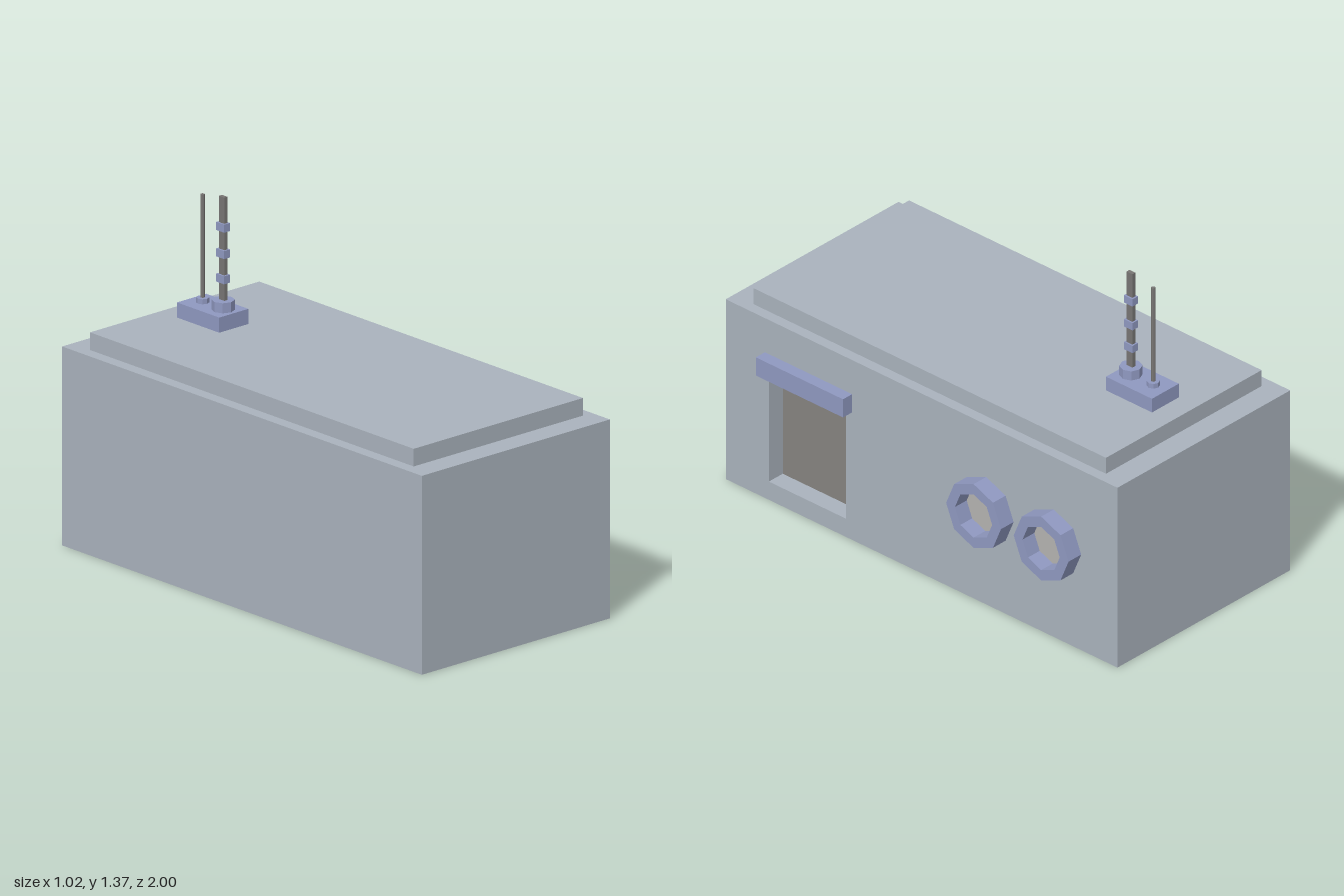
import * as THREE from 'three';

const material = (color) => new THREE.MeshStandardMaterial({ color, flatShading: true });

export function createModel() {
  const model = new THREE.Group();
  const wallMat = material(0xa9b2bc);
  const trimMat = material(0x8f98c0);
  const doorMat = material(0x858380);
  const glassMat = material(0xb4b2b0);
  const mastMat = material(0x777573);

  const add = (name, geometry, mat, parent = model) => {
    const mesh = new THREE.Mesh(geometry, mat);
    mesh.name = name;
    parent.add(mesh);
    return mesh;
  };

  // Box given by its minimum and maximum corners
  const box = (name, mat, [x0, y0, z0], [x1, y1, z1], parent) => {
    const mesh = add(name, new THREE.BoxGeometry(x1 - x0, y1 - y0, z1 - z0), mat, parent);
    mesh.position.set((x0 + x1) / 2, (y0 + y1) / 2, (z0 + z1) / 2);
    return mesh;
  };

  // Upright cylinder standing on y0
  const post = (name, mat, radius, sides, x, y0, y1, z, parent) => {
    const mesh = add(name, new THREE.CylinderGeometry(radius, radius, y1 - y0, sides), mat, parent);
    mesh.position.set(x, (y0 + y1) / 2, z);
    return mesh;
  };

  // Rectangle and octagon outlines in the side plane (u = -z, v = y)
  const rectangle = (u0, v0, u1, v1) =>
    [[u0, v0], [u1, v0], [u1, v1], [u0, v1]].map(([u, v]) => new THREE.Vector2(u, v));
  const octagon = (r) => Array.from({ length: 8 }, (_, i) =>
    new THREE.Vector2(r * Math.cos(i * Math.PI / 4), r * Math.sin(i * Math.PI / 4)));

  // Outline with a hole, extruded towards +x
  const sidePlate = (outer, inner, depth) => {
    const shape = new THREE.Shape(outer);
    shape.holes.push(new THREE.Path(inner));
    return new THREE.ExtrudeGeometry(shape, { depth, bevelEnabled: false }).rotateY(Math.PI / 2);
  };

  // Building body, with a doorway cut into the side wall
  const wallX = 0.44, doorX = 0.36;
  box('body', wallMat, [-0.515, 0, -1], [doorX, 0.79, 1]);
  add('doorWall', sidePlate(rectangle(-1, 0, 1, 0.79), rectangle(-0.78, 0.08, -0.385, 0.56), wallX - doorX), wallMat)
    .position.x = doorX;
  box('roof', wallMat, [-0.465, 0.79, -0.9], [0.395, 0.86, 0.9]);

  // Recessed door and the canopy above it
  box('door', doorMat, [doorX - 0.01, 0.08, 0.385], [doorX + 0.003, 0.56, 0.78]);
  box('doorCanopy', trimMat, [wallX, 0.56, 0.355], [0.49, 0.64, 0.8]);

  // Octagonal portholes
  for (const z of [-0.33, -0.675]) {
    const porthole = new THREE.Group();
    porthole.name = 'porthole';
    porthole.position.set(wallX, 0.42, z);
    add('portholeFrame', sidePlate(octagon(0.14), octagon(0.095), 0.07), trimMat, porthole);
    const pane = add('portholePane', new THREE.CylinderGeometry(0.095, 0.095, 0.01, 8), glassMat, porthole);
    pane.rotation.z = -Math.PI / 2;
    model.add(porthole);
  }

  // Aerials on a roof plinth
  const aerials = new THREE.Group();
  aerials.name = 'aerials';
  model.add(aerials);
  const x = -0.037, mainZ = -0.628, thinZ = -0.742;
  box('aerialBase', trimMat, [-0.11, 0.86, -0.805], [0.038, 0.92, -0.57], aerials);
  post('mainCollar', trimMat, 0.044, 8, x, 0.92, 0.96, mainZ, aerials);
  box('mainMast', mastMat, [x - 0.008, 0.96, mainZ - 0.015], [x + 0.008, 1.37, mainZ + 0.015], aerials);
  for (const y of [1.045, 1.145, 1.25]) {
    box('mastBlock', trimMat, [x - 0.015, y - 0.016, mainZ - 0.022], [x + 0.015, y + 0.016, mainZ + 0.022], aerials);
  }
  post('thinCollar', trimMat, 0.025, 8, x, 0.92, 0.94, thinZ, aerials);
  post('thinMast', mastMat, 0.008, 8, x, 0.94, 1.35, thinZ, aerials);

  return model;
}
